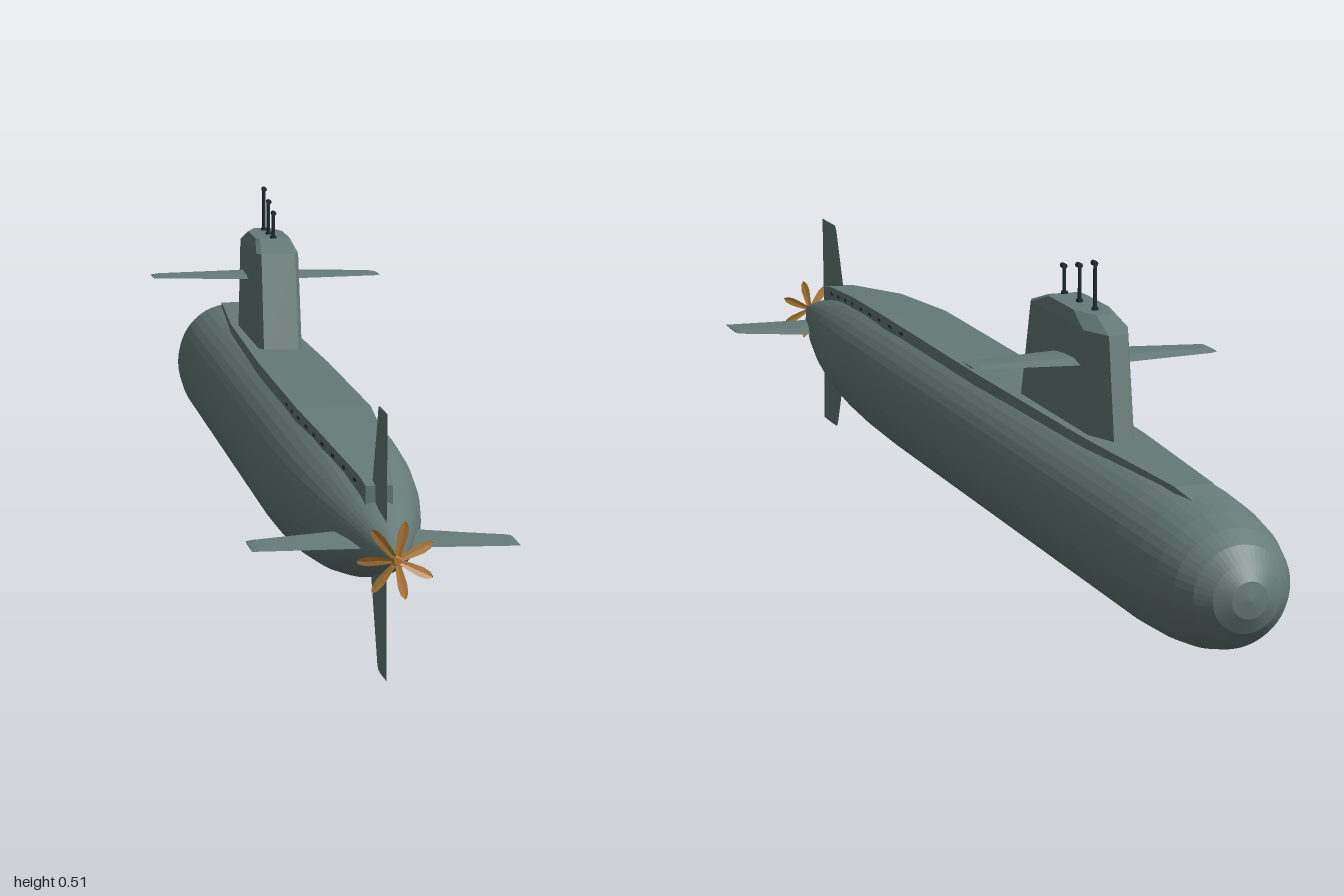
import * as THREE from 'three';

const AXIS = 0.177; // height of the hull centreline

// Skin of flat quads through equal rings (anticlockwise about the direction of travel), with end caps.
function loft(rings) {
  const pos = [];
  const tri = (...pts) => pts.forEach((p) => pos.push(...p));
  const n = rings[0].length;
  for (let i = 0; i < rings.length - 1; i++) {
    for (let j = 0; j < n; j++) {
      const k = (j + 1) % n;
      const [a, b, c, d] = [rings[i][j], rings[i][k], rings[i + 1][k], rings[i + 1][j]];
      tri(a, b, c);
      tri(a, c, d);
    }
  }
  const first = rings[0], last = rings[rings.length - 1];
  for (let j = 1; j < n - 1; j++) {
    tri(first[0], first[j + 1], first[j]);
    tri(last[0], last[j], last[j + 1]);
  }
  const geo = new THREE.BufferGeometry();
  geo.setAttribute('position', new THREE.Float32BufferAttribute(pos, 3));
  geo.computeVertexNormals();
  return geo;
}

// Tapered foil growing along +x; each station is [x, leading z, trailing z, half thickness].
function fin(stations) {
  const section = [[0.25, 1], [0.65, 0.7], [1, 0], [0.65, -0.7], [0.25, -1], [0, 0]];
  return loft(stations.map(([x, z0, z1, t]) => section.map(([u, v]) => [x, v * t, z0 + u * (z1 - z0)])));
}

export function createModel() {
  const model = new THREE.Group();
  const hullGrey = new THREE.MeshStandardMaterial({ name: 'hull grey', color: 0x677b78, flatShading: true });
  const bronze = new THREE.MeshStandardMaterial({ name: 'bronze', color: 0xb57f38, flatShading: true });
  const dark = new THREE.MeshStandardMaterial({ name: 'dark steel', color: 0x202c35 });

  const add = (name, geo, mat, x = 0, y = 0, z = 0, parent = model) => {
    const mesh = new THREE.Mesh(geo, mat);
    mesh.name = name;
    mesh.position.set(x, y, z);
    parent.add(mesh);
    return mesh;
  };

  // Pressure hull: blunt bow at -z, long tapered stern at +z
  const profile = [
    [0, -1], [0.025, -0.997], [0.047, -0.986], [0.066, -0.966], [0.081, -0.937], [0.092, -0.895],
    [0.099, -0.84], [0.103, -0.76], [0.103, 0.3], [0.101, 0.42], [0.096, 0.53], [0.087, 0.63],
    [0.074, 0.72], [0.056, 0.81], [0.034, 0.9], [0.014, 0.97], [0.007, 0.99], [0, 0.995],
  ].map(([r, z]) => new THREE.Vector2(r, z));
  add('hull', new THREE.LatheGeometry(profile, 48).rotateX(Math.PI / 2), hullGrey, 0, AXIS);

  // Deck casing: [z, half width, top height]
  const deck = [
    [-0.9, 0.01, 0.262], [-0.8, 0.028, 0.283], [-0.5, 0.045, 0.284], [-0.05, 0.053, 0.284],
    [0.4, 0.053, 0.284], [0.6, 0.042, 0.275], [0.8, 0.021, 0.254], [0.84, 0.018, 0.247],
  ];
  add('deckCasing', loft(deck.map(([z, w, y]) => [[w, 0.2, z], [w, y, z], [-w, y, z], [-w, 0.2, z]])), hullGrey);

  // Drain slots low on the casing sides
  for (let z = 0.3; z < 0.8; z += 0.06) {
    const i = deck.findIndex((s) => s[0] > z);
    const f = (z - deck[i - 1][0]) / (deck[i][0] - deck[i - 1][0]);
    const [w, top] = [1, 2].map((k) => THREE.MathUtils.lerp(deck[i - 1][k], deck[i][k], f));
    const slope = Math.atan2(deck[i][1] - deck[i - 1][1], deck[i][0] - deck[i - 1][0]);
    for (const s of [-1, 1]) {
      const slot = add('drainSlot', new THREE.BoxGeometry(0.002, 0.004, 0.016), dark, s * w, top - 0.011, z);
      slot.rotation.y = s * slope;
    }
  }

  // Sail: [height, aft z, forward z, half width]
  const sail = [[0.26, -0.19, -0.545, 0.034], [0.428, -0.235, -0.518, 0.033], [0.446, -0.295, -0.46, 0.027]];
  add('sail', loft(sail.map(([y, za, zf, w]) => [
    [-w * 0.8, y, za], [w * 0.8, y, za], [w, y, za - 0.015], [w, y, zf + 0.05],
    [w * 0.42, y, zf], [-w * 0.42, y, zf], [-w, y, zf + 0.05], [-w, y, za - 0.015],
  ])), hullGrey);

  // Masts with small hooked heads
  [[-0.3, 0.488], [-0.363, 0.5], [-0.425, 0.514]].forEach(([z, top]) => {
    const mast = new THREE.Group();
    mast.name = 'mast';
    model.add(mast);
    add('mastBase', new THREE.CylinderGeometry(0.005, 0.005, 0.006, 10), dark, 0, 0.447, z, mast);
    add('mastTube', new THREE.CylinderGeometry(0.0028, 0.0028, top - 0.43, 8), dark, 0, (top + 0.43) / 2, z, mast);
    add('mastHead', new THREE.CylinderGeometry(0.004, 0.004, 0.011, 8).rotateX(Math.PI / 2), dark, 0, top - 0.002, z + 0.003, mast);
  });

  // Sail planes, horizontal stern planes and rudders, each turned about the z axis
  const sailPlane = fin([[0.02, -0.46, -0.35, 0.006], [0.17, -0.44, -0.377, 0.003], [0.181, -0.434, -0.38, 0.001]]);
  const tailPlane = fin([[0.02, 0.765, 0.905, 0.007], [0.06, 0.783, 0.907, 0.006], [0.166, 0.828, 0.91, 0.003], [0.174, 0.835, 0.91, 0.001]]);
  for (const turn of [0, Math.PI]) {
    add('sailPlane', sailPlane, hullGrey, 0, 0.376).rotation.z = turn;
    add('sternPlane', tailPlane, hullGrey, 0, AXIS).rotation.z = turn;
    add('rudder', tailPlane, hullGrey, 0, AXIS).rotation.z = turn + Math.PI / 2;
  }

  // Seven-bladed propeller
  const propeller = new THREE.Group();
  propeller.name = 'propeller';
  propeller.position.set(0, AXIS, 0.993);
  model.add(propeller);
  add('hub', new THREE.CylinderGeometry(0.005, 0.008, 0.014, 14).rotateX(Math.PI / 2), bronze, 0, 0, 0, propeller);
  const blade = loft([[0.003, 0.003], [0.018, 0.005], [0.034, 0.0065], [0.045, 0.005], [0.051, 0.001]].map(([x, w]) =>
    [[x, 0, 0.001], [x, -w, 0.3 * w], [x, 0, -0.001], [x, w, -0.3 * w]].reverse()));
  for (let i = 0; i < 7; i++) {
    add('blade', blade, bronze, 0, 0, 0, propeller).rotation.z = Math.PI + (i * Math.PI * 2) / 7;
  }
  return model;
}
